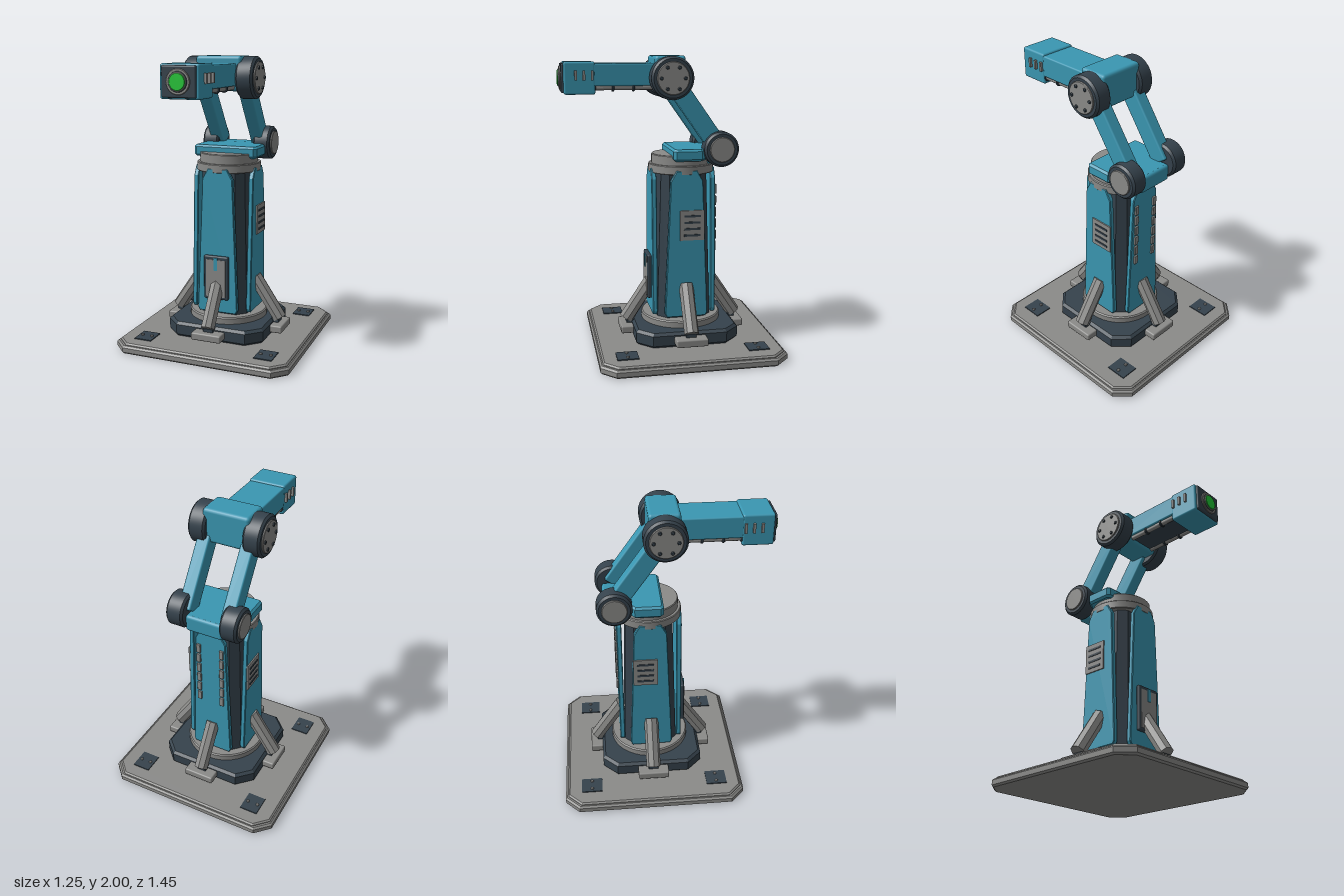
import * as THREE from 'three';
import { toCreasedNormals } from 'three/addons/utils/BufferGeometryUtils.js';
import { RoundedBoxGeometry } from 'three/addons/geometries/RoundedBoxGeometry.js';

const paint = (name, color) => {
  const m = new THREE.MeshStandardMaterial({ color });
  m.name = name;
  return m;
};

export function createModel() {
  const blue = paint('blue paint', 0x3a97b2);
  const gray = paint('gray metal', 0x8b8b89);
  const dark = paint('dark metal', 0x35424c);
  const green = paint('green lens', 0x22cc38);

  const add = (parent, name, mat, geo, x = 0, y = 0, z = 0) => {
    const mesh = new THREE.Mesh(geo, mat);
    mesh.name = name;
    mesh.position.set(x, y, z);
    parent.add(mesh);
    return mesh;
  };
  const group = (parent, name) => {
    const g = new THREE.Group();
    g.name = name;
    parent.add(g);
    return g;
  };
  // Box, with softened edges when r is given
  const box = (w, h, d, r = 0) => r ? new RoundedBoxGeometry(w, h, d, 2, r) : new THREE.BoxGeometry(w, h, d);
  // Bevelled turned disc from y = 0 to h
  const disc = (r, h, b = 0.005, n = 40) => toCreasedNormals(new THREE.LatheGeometry(
    [[0, 0], [r - b, 0], [r, b], [r, h - b], [r - b, h], [0, h]].map(p => new THREE.Vector2(...p)), n), 0.6);
  // Extruded outline with a bevel that stays inside the outline
  const extrude = (pts, h, b) => new THREE.ExtrudeGeometry(new THREE.Shape(pts.map(p => new THREE.Vector2(...p))), {
    depth: h - 2 * b, bevelEnabled: b > 0, bevelThickness: b, bevelSize: b, bevelOffset: -b, bevelSegments: 1,
  }).translate(0, 0, b);
  const upright = geo => geo.rotateX(-Math.PI / 2);
  const cornerCut = (a, c) => [[a - c, -a], [a, c - a], [a, a - c], [a - c, a], [c - a, a], [-a, a - c], [-a, c - a], [c - a, -a]];

  const model = new THREE.Group();
  model.name = 'robotArm';

  // Base and column share an axis behind the centre
  const base = group(model, 'base');
  base.position.z = -0.1;
  add(base, 'basePlate', gray, upright(extrude(cornerCut(0.627, 0.095), 0.055, 0.012)));
  add(base, 'basePlateTop', gray, upright(extrude(cornerCut(0.607, 0.09), 0.05, 0.01)), 0, 0.02);
  add(base, 'housing', dark, upright(extrude(cornerCut(0.353, 0.1), 0.105, 0.018)), 0, 0.068);
  add(base, 'columnRing', gray, disc(0.277, 0.055, 0.008), 0, 0.165);

  // Bolted anchor pads
  for (const sx of [-1, 1]) for (const sz of [-1, 1]) {
    const pad = group(base, 'anchorPad');
    pad.position.set(sx * 0.438, 0.07, sz * 0.441);
    add(pad, 'padPlate', dark, box(0.125, 0.008, 0.143), 0, 0.003);
    for (const b of [-1, 1]) add(pad, 'padBolt', gray, disc(0.011, 0.012, 0.003, 8), b * 0.036, 0.004);
  }

  // Tapered core
  const column = group(base, 'column');
  const coreGeo = upright(extrude(cornerCut(0.185, 0.06), 1.04, 0));
  const p = coreGeo.attributes.position;
  for (let i = 0; i < p.count; i++) {
    const k = 1 - 0.16 * p.getY(i) / 1.04;
    p.setX(i, p.getX(i) * k);
    p.setZ(i, p.getZ(i) * k);
  }
  coreGeo.computeVertexNormals();
  add(column, 'core', dark, coreGeo, 0, 0.21);

  // Cladding panel, strut and foot on each of the four sides
  const panelShape = [[-0.135, 0.235], [0.135, 0.235], [0.148, 0.26], [0.11, 1.18], [0.07, 1.25], [-0.07, 1.25], [-0.11, 1.18], [-0.148, 0.26]];
  const strutLength = Math.hypot(0.19, 0.285);
  for (let i = 0; i < 4; i++) {
    const side = group(column, 'columnSide');
    side.rotation.y = i * Math.PI / 2;
    add(side, 'panel', blue, extrude(panelShape, 0.034, 0.005), 0, 0, 0.186);
    const strutGeo = new THREE.CylinderGeometry(0.05, 0.05, strutLength, 8).toNonIndexed();
    strutGeo.computeVertexNormals();
    const strut = add(side, 'strut', gray, strutGeo, 0, 0.3175, 0.295);
    strut.rotation.x = -Math.atan2(0.19, 0.285);
    add(side, 'foot', gray, box(0.216, 0.052, 0.13, 0.01), 0, 0.122, 0.371);
    add(side, 'footPin', dark, box(0.07, 0.04, 0.05), 0, 0.15, 0.365);
  }

  // Front access door
  const door = group(column, 'door');
  add(door, 'doorFrame', dark, box(0.18, 0.31, 0.03, 0.01), 0, 0.493, 0.233);
  add(door, 'doorPlate', gray, box(0.145, 0.265, 0.012), 0, 0.49, 0.245);
  add(door, 'doorHandle', blue, box(0.026, 0.09, 0.014), 0, 0.592, 0.249);

  // Side vents
  for (const s of [-1, 1]) {
    const vent = group(column, 'sideVent');
    add(vent, 'ventPlate', gray, box(0.012, 0.205, 0.165), s * 0.223, 0.88, -0.036);
    for (let i = 0; i < 4; i++) add(vent, 'ventSlat', dark, box(0.01, 0.014, 0.112), s * 0.228, 0.812 + i * 0.044, -0.036);
  }

  // Segmented cable runs on the back
  for (const s of [-1, 1]) for (let i = 0; i < 6; i++) {
    add(column, 'cableSegment', gray, box(0.03, 0.066, 0.016, 0.004), s * 0.085, 0.697 + i * 0.0805, -0.225);
  }

  // Turntable
  add(column, 'collar', gray, disc(0.223, 0.06, 0.005, 48), 0, 1.22);
  add(column, 'turntable', gray, disc(0.202, 0.07, 0.005, 48), 0, 1.275);

  // Shoulder yoke, narrowing towards the rear joint
  const arm = group(model, 'arm');
  const yoke = [[-0.21, 0.01], [0.21, 0.01], [0.23, 0.03], [0.23, 0.2], [0.13, 0.27], [0.13, 0.385], [0.115, 0.4],
    [-0.115, 0.4], [-0.13, 0.385], [-0.13, 0.27], [-0.23, 0.2], [-0.23, 0.03]];
  add(arm, 'yoke', blue, upright(extrude(yoke, 0.08, 0.014)), 0, 1.312);
  add(arm, 'shoulderHub', blue, box(0.264, 0.115, 0.15, 0.02), 0, 1.335, -0.328);

  // Joint drum with an end cap and optional bolts
  const joint = (name, s, r, capR, y, z, bolts) => {
    const g = group(arm, name);
    g.position.set(s * 0.13, y, z);
    g.rotation.z = -s * Math.PI / 2;
    add(g, 'drum', dark, disc(r, 0.12, 0.014, 48));
    add(g, 'cap', gray, disc(capR, 0.02, 0.004), 0, 0.11);
    for (let i = 0; i < bolts; i++) {
      const a = (i + 0.5) * Math.PI * 2 / bolts;
      add(g, 'capBolt', dark, disc(0.012, 0.015, 0.003, 8), Math.cos(a) * 0.078, 0.124, Math.sin(a) * 0.078);
    }
  };

  // Paired joints and upper arm links
  for (const s of [-1, 1]) {
    joint('shoulderJoint', s, 0.117, 0.083, 1.39, -0.33, 0);
    joint('elbowJoint', s, 0.14, 0.106, 1.857, 0, 6);
    const link = add(arm, 'upperArmLink', blue, box(0.09, 0.58, 0.124, 0.012), s * 0.151, 1.6235, -0.165);
    link.rotation.x = Math.atan2(0.33, 0.467);
  }
  add(arm, 'elbowHub', blue, box(0.324, 0.23, 0.204, 0.022), 0, 1.885, 0);

  // Forearm with rails clamped underneath
  const forearm = group(arm, 'forearm');
  add(forearm, 'forearmBeam', blue, box(0.254, 0.145, 0.46, 0.01), 0, 1.878, 0.28);
  add(forearm, 'underPlate', dark, box(0.2, 0.02, 0.4), 0, 1.8, 0.3);
  for (const s of [-1, 1]) {
    const rail = add(forearm, 'rail', gray, disc(0.017, 0.42, 0.002, 16), s * 0.1, 1.795, 0.1);
    rail.rotation.x = Math.PI / 2;
    for (const z of [0.23, 0.365, 0.485]) {
      const clamp = add(forearm, 'railClamp', dark, disc(0.026, 0.016, 0.003, 16), s * 0.1, 1.795, z);
      clamp.rotation.x = Math.PI / 2;
    }
  }

  // Tool head with side slots and lens
  const head = group(arm, 'head');
  add(head, 'headBlock', blue, box(0.26, 0.21, 0.204, 0.014), 0, 1.857, 0.59);
  for (const s of [-1, 1]) for (const z of [0.508, 0.561, 0.614]) {
    add(head, 'headSlot', gray, box(0.026, 0.062, 0.016), s * 0.133, 1.875, z);
  }
  add(head, 'facePlate', dark, box(0.225, 0.19, 0.03, 0.01), 0, 1.857, 0.692);
  for (const [name, mat, r, z, h] of [['lensRing', gray, 0.077, 0.7, 0.016], ['lensSeat', dark, 0.063, 0.71, 0.008],
    ['lensInnerRing', gray, 0.058, 0.71, 0.013], ['lens', green, 0.052, 0.712, 0.016]]) {
    add(head, name, mat, disc(r, h, 0.003), 0, 1.857, z).rotation.x = Math.PI / 2;
  }

  return model;
}
